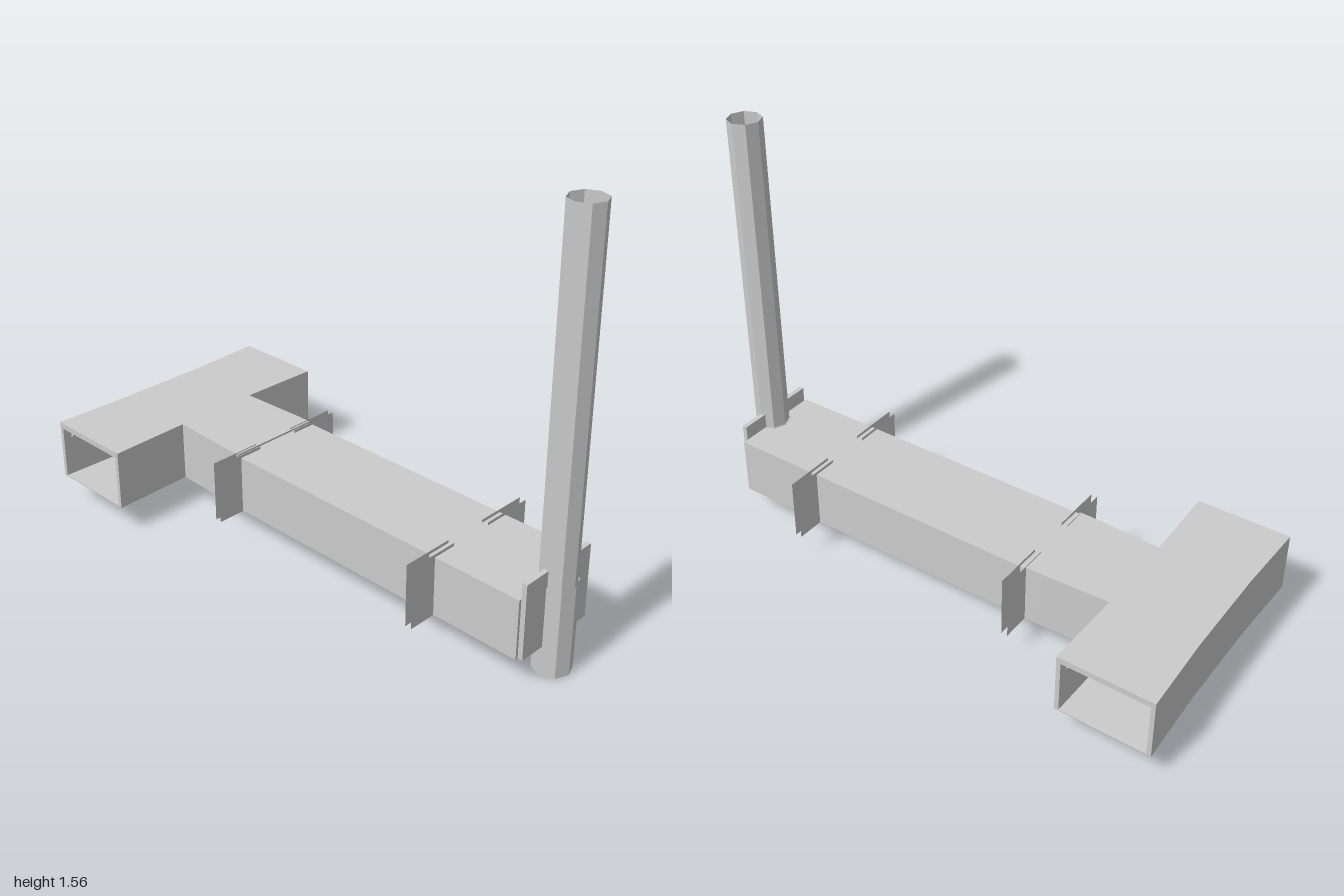
import * as THREE from 'three';

const material = new THREE.MeshStandardMaterial({ color: 0xcccccc, flatShading: true, side: THREE.DoubleSide });
const BASE = 0.11, TOP = 0.335;

export function createModel() {
  const group = new THREE.Group();

  const add = (name, geometry, x = 0, y = 0, z = 0) => {
    const mesh = new THREE.Mesh(geometry, material);
    mesh.name = name;
    mesh.position.set(x, y, z);
    group.add(mesh);
    return mesh;
  };
  const box = (name, x0, x1, y0, y1, z0, z1) =>
    add(name, new THREE.BoxGeometry(x1 - x0, y1 - y0, z1 - z0), (x0 + x1) / 2, (y0 + y1) / 2, (z0 + z1) / 2);

  // Upright prism from a plan outline of [x, z] points
  const slab = (name, points, y0, y1) => {
    const shape = new THREE.Shape(points.map(([x, z]) => new THREE.Vector2(x, -z)));
    const geometry = new THREE.ExtrudeGeometry(shape, { depth: y1 - y0, bevelEnabled: false });
    return add(name, geometry.rotateX(-Math.PI / 2), 0, y0, 0);
  };

  // Main beam
  box('beam', -0.178, 0.178, BASE, 0.328, -0.34, 0.92);

  // T-shaped head: roof and floor share one plan
  const half = [[0.178, -0.34], [0.178, -0.4], [0.167, -0.66], [0.475, -0.652], [0.475, -1], [0.18, -0.99]];
  const plan = [...half, ...half.map(([x, z]) => [-x, z]).reverse()];
  slab('headRoof', plan, TOP - 0.022, TOP);
  slab('headFloor', plan, BASE, BASE + 0.004);

  // Head walls, with the ends left open
  const t = 0.016;
  slab('backWallMiddle', [[-0.18, -0.99], [0.18, -0.99], [0.18, -0.99 + t], [-0.18, -0.99 + t]], BASE, TOP - 0.022);
  for (const s of [-1, 1]) {
    slab('backWall', [[s * 0.18, -0.99], [s * 0.475, -1], [s * 0.475, -1 + t], [s * 0.18, -0.99 + t]], BASE, TOP - 0.01);
    slab('frontWall', [[s * 0.167, -0.66], [s * 0.475, -0.652], [s * 0.475, -0.652 - t], [s * 0.167, -0.66 - t]], BASE, TOP - 0.01);
    slab('neckWall', [[s * 0.178, -0.34], [s * 0.178, -0.4], [s * 0.167, -0.66], [s * 0.155, -0.66], [s * 0.166, -0.4], [s * 0.166, -0.34]], BASE, TOP - 0.01);

    // Corner gussets under the roof
    for (const [z, d] of [[-0.665, -1], [-0.983, 1]]) {
      const tri = new THREE.Shape([[0, 0], [d * 0.05, 0], [0, -0.05]].map(([a, b]) => new THREE.Vector2(a, b)));
      const geometry = new THREE.ExtrudeGeometry(tri, { depth: 0.015, bevelEnabled: false });
      add('gusset', geometry.rotateY(-Math.PI / 2), s * 0.435 + 0.0075, TOP - 0.022, z);
    }

    // Paired thin flange plates through the beam sides
    for (const z of [0.575, -0.335]) {
      for (const dz of [-0.012, 0.012]) {
        add('sideFlange', new THREE.PlaneGeometry(0.2, 0.23), s * 0.185, 0.224, z + dz);
      }
    }
  }

  // Plates clamping the pole to the beam front
  box('frontPlateRight', -0.168, -0.06, BASE, 0.386, 0.92, 0.938);
  box('frontPlateLeft', 0.05, 0.157, BASE, 0.384, 0.92, 0.938);

  // Octagonal tube pole in its sleeve
  const tube = (name, r, y0, y1) =>
    add(name, new THREE.CylinderGeometry(r, r, y1 - y0, 8, 1, true), -0.003, (y0 + y1) / 2, 0.935);
  tube('pole', 0.062, 0.08, 1.557);
  tube('poleSleeve', 0.067, 0, 0.33);
  add('poleSeat', new THREE.CylinderGeometry(0.062, 0.062, 0.005, 8), -0.003, 0.11, 0.935);

  return group;
}
